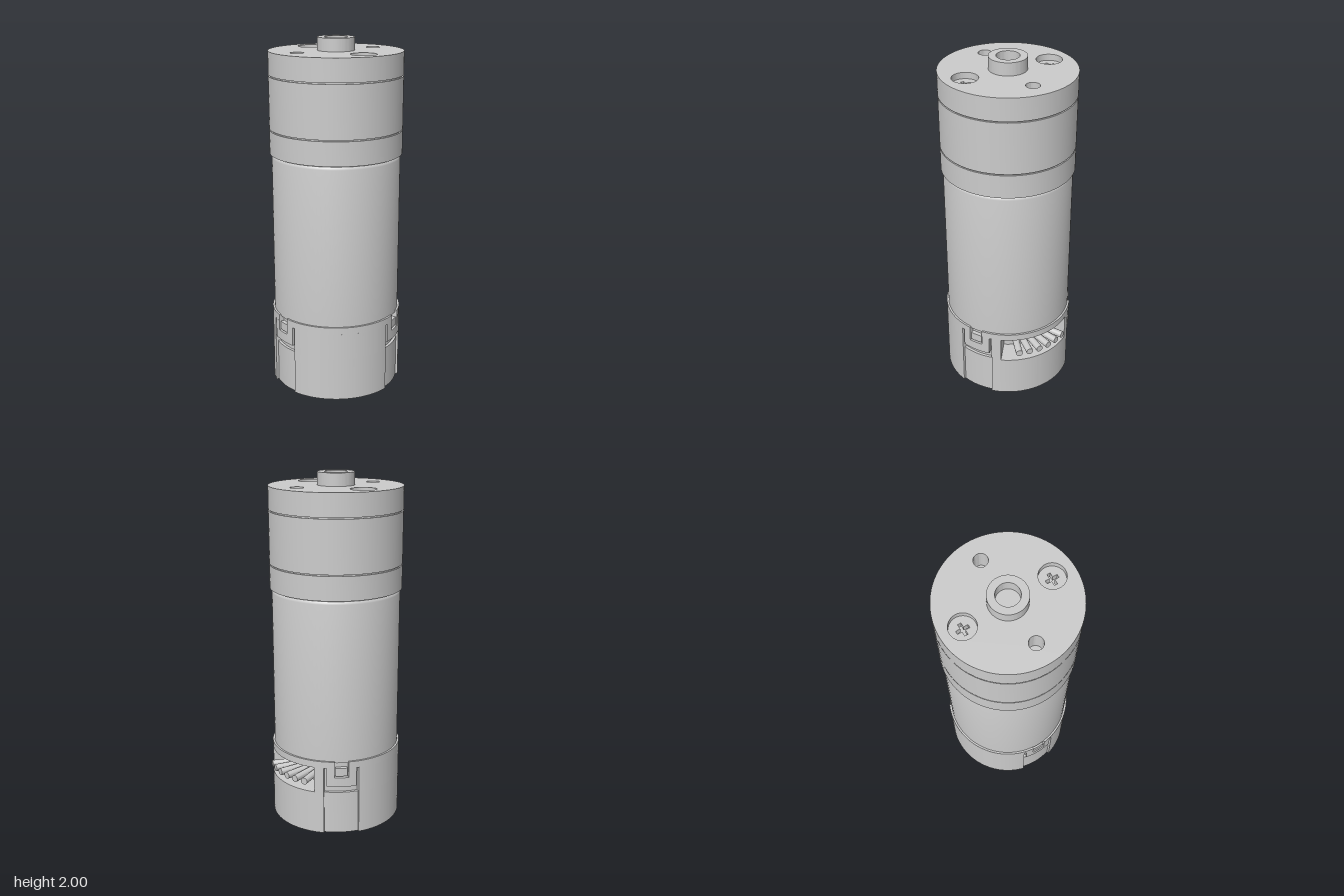
import * as THREE from 'three';
import { toCreasedNormals } from 'three/addons/utils/BufferGeometryUtils.js';

const material = new THREE.MeshStandardMaterial({ color: 0xcccccc });
const rad = THREE.MathUtils.degToRad;
const R = 0.374; // outer radius of gearhead and end cap

function addMesh(parent, name, geometry) {
  const mesh = new THREE.Mesh(toCreasedNormals(geometry, rad(30)), material);
  mesh.name = name;
  parent.add(mesh);
  return mesh;
}

// Solid of revolution from [radius, height] pairs, listed bottom to top
const turned = (pairs) =>
  new THREE.LatheGeometry(pairs.map(([r, y]) => new THREE.Vector2(r, y)), 96);

// Upright prism from a plan shape (shape y points to the back)
function prism(shape, y0, y1, curveSegments = 48) {
  return new THREE.ExtrudeGeometry(shape, { depth: y1 - y0, bevelEnabled: false, curveSegments })
    .rotateX(-Math.PI / 2).translate(0, y0, 0);
}

// Curved block; angles in degrees from the front (+z) towards +x
function sector(r0, r1, a0, a1, y0, y1) {
  const s = rad(a0 - 90), e = rad(a1 - 90);
  const shape = new THREE.Shape();
  shape.absarc(0, 0, r1, s, e, false);
  shape.absarc(0, 0, r0, e, s, true);
  shape.closePath();
  return prism(shape, y0, y1, 32);
}

function circle(x, y, r, Type = THREE.Path) {
  return new Type().absarc(x, y, r, 0, Math.PI * 2, false);
}

function crossPath(w, l) {
  return new THREE.Path([
    [w, w], [w, l], [-w, l], [-w, w], [-l, w], [-l, -w],
    [-w, -w], [-w, -l], [w, -l], [w, -w], [l, -w], [l, w],
  ].map(([x, y]) => new THREE.Vector2(x, y)));
}

function buildGearhead() {
  const g = new THREE.Group();
  g.name = 'gearhead';
  const groove = 0.366;
  addMesh(g, 'gearHousing', turned([
    [0, 1.36], [R, 1.36], [R, 1.494], [groove, 1.494], [groove, 1.501], [R, 1.501],
    [R, 1.793], [groove, 1.793], [groove, 1.8], [0, 1.8],
  ]));

  // Front plate with screw recesses and pin holes
  const plate = circle(0, 0, R, THREE.Shape);
  for (const s of [-1, 1]) {
    plate.holes.push(circle(s * 0.253, 0, 0.071), circle(0, s * 0.254, 0.038));
  }
  addMesh(g, 'frontPlate', prism(plate, 1.8, 1.928, 96));

  // Cross-head screws sunk in the recesses
  for (const s of [-1, 1]) {
    const head = circle(0, 0, 0.071, THREE.Shape);
    head.holes.push(crossPath(0.009, 0.034));
    addMesh(g, 'screwHead', prism(head, 1.85, 1.893)).position.x = s * 0.253;
  }

  // Hollow output shaft
  addMesh(g, 'outputShaft', turned([
    [0.104, 1.92], [0.104, 2], [0.063, 2], [0.063, 1.93], [0, 1.93],
  ]));
  return g;
}

function buildEndCap() {
  const g = new THREE.Group();
  g.name = 'endCap';
  const inner = 0.361, back = 0.345, slot = 15.5, tab = 13.2, notch = 6.2;
  const w0 = 144, w1 = 216; // cable window

  addMesh(g, 'capBase', turned([[0, 0], [inner, 0], [inner, 0.25], [0, 0.25]]));
  addMesh(g, 'capCore', turned([[0, 0.25], [0.23, 0.25], [0.23, 0.4], [0, 0.4]]));
  addMesh(g, 'capInnerWall', sector(0.22, back, w1 - 360, w0, 0.25, 0.4));
  addMesh(g, 'capTop', turned([[0, 0.4], [back, 0.4], [back, 0.44], [0, 0.44]]));

  for (const c of [0, 120, 240]) {
    // Outer wall and rim between neighbouring clips
    const a = c + slot, b = c + 120 - slot;
    addMesh(g, 'capWall', sector(0.33, R, a, b, 0, 0.25));
    const spans = c === 120 ? [[a, w0], [w1, b]] : [[a, b]];
    for (const [s, e] of spans) addMesh(g, 'capUpperWall', sector(0.33, R, s, e, 0.25, 0.4));
    addMesh(g, 'capRim', sector(0.33, R, c + notch, c + 120 - notch, 0.4, 0.44));

    // Snap clip: tab with a notch and a small catch inside it
    addMesh(g, 'clipTab', sector(0.33, R, c - tab, c + tab, 0.29, 0.345));
    addMesh(g, 'clipTabSide', sector(0.33, R, c - tab, c - notch, 0.345, 0.4));
    addMesh(g, 'clipTabSide', sector(0.33, R, c + notch, c + tab, 0.345, 0.4));
    addMesh(g, 'clipCatch', sector(0.33, 0.368, c - 5.4, c + 5.4, 0.352, 0.4));
  }
  return g;
}

function buildWires() {
  const g = new THREE.Group();
  g.name = 'wires';
  // Six cable ends fanning out through the window
  for (let i = 0; i < 6; i++) {
    const geo = new THREE.CylinderGeometry(0.02, 0.02, 0.17, 20)
      .rotateX(Math.PI / 2).translate(0, 0.31, 0.302);
    addMesh(g, 'wire', geo).rotation.y = rad(160.3 + i * 9.4);
  }
  return g;
}

export function createModel() {
  const model = new THREE.Group();
  model.name = 'gearMotor';
  model.add(buildGearhead(), buildEndCap(), buildWires());

  // Motor can with rounded shoulder
  addMesh(model, 'motorCan', turned([
    [0, 0.43], [0.363, 0.43], [0.363, 1.338], [0.361, 1.347], [0.355, 1.354], [0.345, 1.357], [0.345, 1.365], [0, 1.365],
  ]));

  model.position.z = 0.006;
  const root = new THREE.Group();
  root.add(model);
  return root;
}
